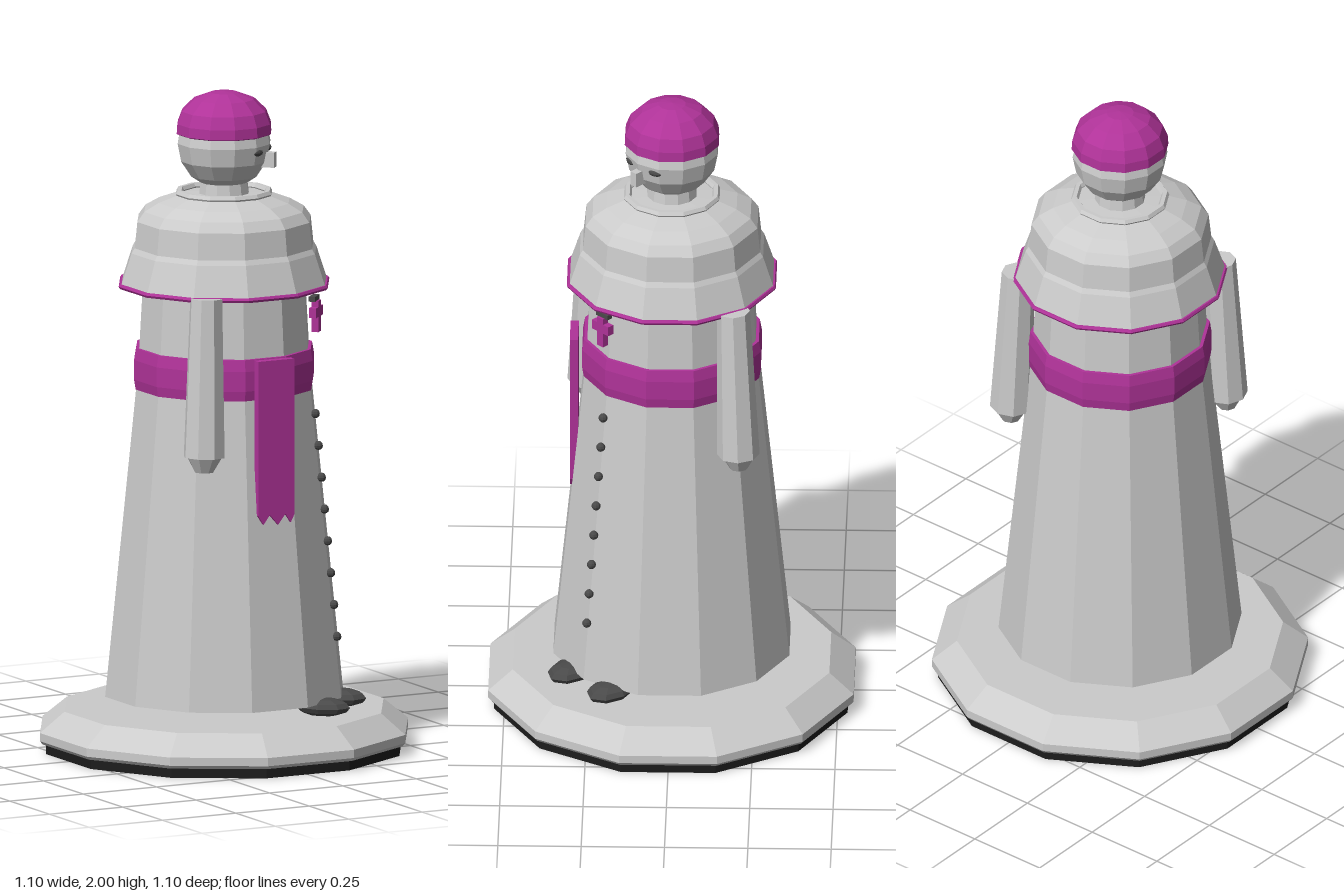
import * as THREE from 'three';

const mat = (color) => new THREE.MeshStandardMaterial({ color, flatShading: true, side: THREE.DoubleSide });
const grey = mat(0xcccccc);
const purple = mat(0xb03399);
const dark = mat(0x4a4a4a);
const black = mat(0x1c1c1c);

const SIDES = 12;
const APOTHEM = Math.cos(Math.PI / SIDES);

function add(parent, name, geometry, material, x = 0, y = 0, z = 0) {
  const mesh = new THREE.Mesh(geometry, material);
  mesh.name = name;
  mesh.position.set(x, y, z);
  parent.add(mesh);
  return mesh;
}

// Twelve-sided turned part; each point is [flat-to-centre distance, height]
function turned(points) {
  return new THREE.LatheGeometry(points.map(([a, y]) => new THREE.Vector2(a / APOTHEM, y)), SIDES);
}

function ring(parent, name, apothem, tube, y, material) {
  const m = add(parent, name, new THREE.TorusGeometry(apothem / APOTHEM, tube, 6, SIDES), material, 0, y, 0);
  m.rotation.x = Math.PI / 2;
  return m;
}

export function createModel() {
  const model = new THREE.Group();
  model.name = 'robedFigure';

  // The figure looks diagonally, between +x and +z
  const figure = new THREE.Group();
  figure.name = 'figure';
  figure.rotation.y = Math.PI / 4;
  model.add(figure);

  // Stand
  add(figure, 'standFoot', turned([[0, 0], [0.53, 0], [0.53, 0.03], [0, 0.03]]), black);
  add(figure, 'stand', turned([[0, 0.03], [0.54, 0.03], [0.548, 0.04], [0.548, 0.065], [0.475, 0.127], [0, 0.127]]), grey);

  // Robe, belt and shoulder cape
  add(figure, 'robe', turned([[0, 0.167], [0.354, 0.167], [0.256, 1.16], [0.24, 1.45], [0.22, 1.6], [0, 1.62]]), grey);
  add(figure, 'belt', turned([[0.25, 1.1], [0.263, 1.1], [0.268, 1.13], [0.268, 1.19], [0.262, 1.225], [0.245, 1.225]]), purple);
  add(figure, 'cape', turned([[0.307, 1.415], [0.275, 1.515], [0.266, 1.53], [0.258, 1.61], [0.237, 1.64],
    [0.195, 1.665], [0.14, 1.685], [0.06, 1.69]]), grey);
  ring(figure, 'capeTrim', 0.306, 0.008, 1.415, purple);
  ring(figure, 'collar', 0.132, 0.012, 1.69, grey);

  // Head and cap
  add(figure, 'neck', new THREE.CylinderGeometry(0.07, 0.08, 0.08, SIDES), grey, 0, 1.7, 0);
  add(figure, 'head', new THREE.SphereGeometry(0.143, SIDES, 8, Math.PI / 2), grey, 0, 1.843, 0);
  const cap = add(figure, 'cap', turned([[0.13, -0.005], [0.141, 0], [0.139, 0.03], [0.125, 0.067],
    [0.089, 0.103], [0.04, 0.122], [0, 0.126]]), purple, 0, 1.873, 0);
  cap.castShadow = true;

  // Face
  add(figure, 'nose', new THREE.BoxGeometry(0.024, 0.046, 0.04), grey, 0, 1.797, 0.14);
  for (const side of [-1, 1]) {
    const eye = add(figure, 'eye', new THREE.SphereGeometry(1, 8, 6), dark, side * 0.054, 1.825, 0.12);
    eye.scale.set(0.024, 0.011, 0.012);
    eye.rotation.y = side * 0.42;
  }

  // Arms hanging slightly outwards, with hands, and shoes
  for (const side of [-1, 1]) {
    const arm = new THREE.Group();
    arm.name = side > 0 ? 'leftArm' : 'rightArm';
    arm.position.set(side * 0.303, 1.42, 0.035);
    arm.rotation.z = side * 0.045;
    figure.add(arm);
    add(arm, 'sleeve', new THREE.CylinderGeometry(0.05, 0.064, 0.48, 8), grey, 0, -0.24, 0);
    add(arm, 'hand', new THREE.CylinderGeometry(0.055, 0.028, 0.046, 8), grey, 0, -0.503, 0);

    const shoe = add(figure, 'shoe', new THREE.SphereGeometry(1, 8, 6), dark, side * 0.085, 0.154, 0.335);
    shoe.scale.set(0.058, 0.028, 0.085);
  }

  // Buttons down the front
  for (let i = 0; i < 8; i++) {
    const y = 1.03 - i * 0.0965;
    add(figure, 'button', new THREE.SphereGeometry(0.014, 8, 6), dark, 0, y, 0.286 + (1.03 - y) * 0.1);
  }

  // Pendant on the chest
  add(figure, 'pendantLoop', new THREE.BoxGeometry(0.05, 0.015, 0.02), dark, 0, 1.382, 0.282);
  add(figure, 'pendantUpright', new THREE.BoxGeometry(0.026, 0.095, 0.022), purple, 0, 1.328, 0.288);
  add(figure, 'pendantBar', new THREE.BoxGeometry(0.07, 0.03, 0.022), purple, 0, 1.342, 0.288);

  // Hanging sash with a notched hem
  const sash = new THREE.Shape([[-0.048, 1.225], [-0.048, 0.755], [-0.03, 0.727], [-0.008, 0.755], [0.02, 0.723],
    [0.045, 0.755], [0.063, 0.727], [0.075, 0.75], [0.075, 1.225]].map(([x, y]) => new THREE.Vector2(x, y)));
  add(model, 'sash', new THREE.ExtrudeGeometry(sash, { depth: 0.025, bevelEnabled: false }), purple, 0, 0, 0.28);

  return model;
}
